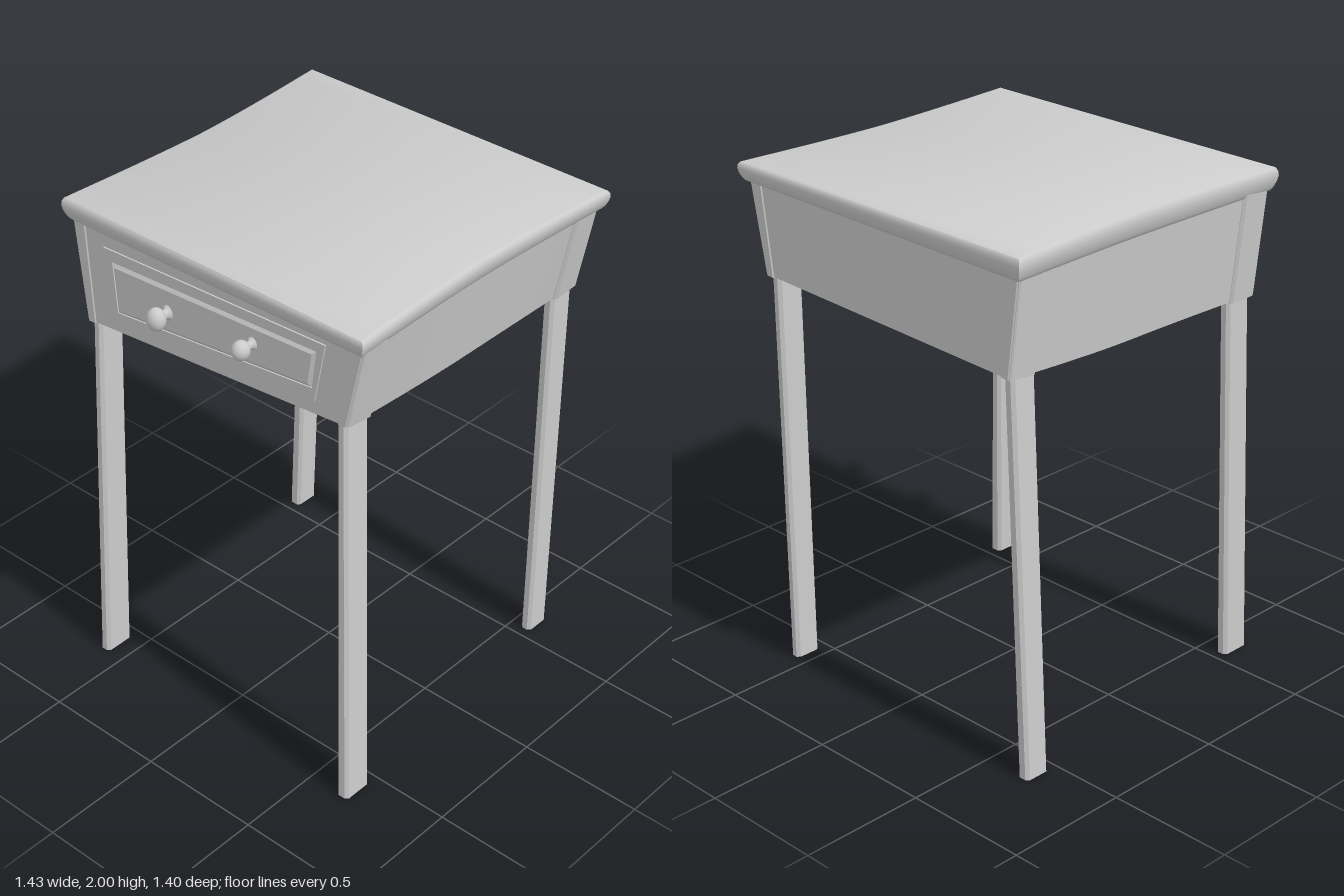
import * as THREE from 'three';
import { toCreasedNormals } from 'three/addons/utils/BufferGeometryUtils.js';

const material = new THREE.MeshStandardMaterial({ color: 0xcccccc });
const lerp = THREE.MathUtils.lerp;
const FRONT = 0.595, BACK = -0.665, MID = -0.04;

// 0 at the waist of the table, 1 at its front and back ends
const bow = (z) => Math.min(1.1, Math.abs(z - MID) / 0.64) ** 1.5;

function add(parent, name, geometry) {
  const mesh = new THREE.Mesh(geometry, material);
  mesh.name = name;
  parent.add(mesh);
  return mesh;
}

// Skin a stack of rings (top to bottom) and close both ends with strips.
// Each ring runs front-left, back-left, back-right, front-right.
function loft(rings, crease = 0.6) {
  const pos = [];
  const quad = (a, b, c, d) => pos.push(...a, ...b, ...c, ...a, ...c, ...d);
  const m = rings[0].length;
  for (let r = 0; r < rings.length - 1; r++) {
    const p = rings[r], q = rings[r + 1];
    for (let i = 0; i < m; i++) {
      const j = (i + 1) % m;
      quad(p[i], p[j], q[j], q[i]);
    }
  }
  const top = rings[0], low = rings[rings.length - 1];
  for (let i = 0; i < m / 2 - 1; i++) {
    quad(top[i], top[m - 1 - i], top[m - 2 - i], top[i + 1]);
    quad(low[i], low[i + 1], low[m - 2 - i], low[m - 1 - i]);
  }
  const g = new THREE.BufferGeometry();
  g.setAttribute('position', new THREE.Float32BufferAttribute(pos, 3));
  return toCreasedNormals(g, crease);
}

// Ring with bowed left and right sides; edge(side, z) gives x, height(x, z) gives y
function bowedRing(zFront, zBack, edge, height, n = 17) {
  const ring = [];
  for (const side of [-1, 1]) {
    for (let i = 0; i < n; i++) {
      const k = i / (n - 1);
      const z = lerp(zFront, zBack, side < 0 ? k : 1 - k);
      const x = edge(side, z);
      ring.push([x, height(x, z), z]);
    }
  }
  return ring;
}

// Rectangle with chamfered corners, as [x, z] pairs
function chamferRect(x0, x1, z0, z1, c) {
  return [
    [x0 + c, z1], [x0, z1 - c], [x0, z0 + c], [x0 + c, z0],
    [x1 - c, z0], [x1, z0 + c], [x1, z1 - c], [x1 - c, z1],
  ];
}

// Sagging, sideways sloping lower edge of the body
function bottomY(x, z) {
  const b = bow(z);
  const left = 1.495 + (z > MID ? 0.007 : 0.05) * b;
  const right = 1.555 + (z > MID ? 0.055 : 0.03) * b;
  return lerp(left, right, (x + 0.62) / 1.23);
}

// Outer x of the body at depth t (0 top, 1 bottom)
const bodyEdge = (side, z, t) =>
  side * (lerp(0.685, side < 0 ? 0.637 : 0.613, t) - 0.03 * (1 - Math.min(1, bow(z))));

function quadPath(corners, Type) {
  return new Type(corners.map(([x, y]) => new THREE.Vector2(x, y)));
}

export function createModel() {
  const table = new THREE.Group();
  table.name = 'crookedSideTable';

  // Table top with rounded rim
  const rim = [[0.02, 2], [0.008, 1.996], [0.002, 1.985], [0, 1.97], [0.004, 1.95],
    [0.012, 1.93], [0.02, 1.918], [0.035, 1.912]];
  add(table, 'tableTop', loft(rim.map(([inset, y], i) => bowedRing(
    0.628 - inset, -0.699 + inset,
    (side, z) => side * (0.677 + (z > MID ? 0.028 : 0.036) * Math.min(1, bow(z)) - inset),
    (x, z) => y + (i / 7) * (0.015 * x - 0.012 * (1 - Math.min(1, bow(z)))),
  )), 0.9));

  // Tapered body
  add(table, 'body', loft([0, 1].map((t) => bowedRing(
    FRONT, BACK,
    (side, z) => bodyEdge(side, z, t),
    (x, z) => (t ? bottomY(x, z) : 1.935),
  ))));

  // Corner posts, slightly proud of the body
  for (const side of [-1, 1]) {
    for (const [z0, z1] of [[0.47, FRONT + 0.004], [BACK - 0.004, -0.54]]) {
      const rings = [0, 1].map((t) => {
        const outer = bodyEdge(side, z0 < 0 ? z0 : z1, t) + side * 0.003;
        const inner = outer - side * lerp(0.07, 0.05, t);
        return chamferRect(Math.min(outer, inner), Math.max(outer, inner), z0, z1, 0.01)
          .map(([x, z]) => [x, t ? bottomY(x, z) - 0.003 : 1.935, z]);
      });
      add(table, 'cornerPost', loft(rings, 0.3));
    }
  }

  // Legs: x and z ranges at the top, then at the floor
  const legs = {
    frontRightLeg: [1.54, [-0.62, -0.575, 0.475, 0.592], [-0.62, -0.572, 0.54, 0.665]],
    backRightLeg: [1.58, [-0.635, -0.588, -0.652, -0.54], [-0.707, -0.655, -0.647, -0.54]],
    frontLeftLeg: [1.64, [0.562, 0.605, 0.475, 0.592], [0.63, 0.683, 0.54, 0.665]],
    backLeftLeg: [1.61, [0.56, 0.605, -0.652, -0.54], [0.545, 0.59, -0.647, -0.54]],
  };
  for (const [name, [y, top, foot]] of Object.entries(legs)) {
    add(table, name, loft([[top, y], [foot, 0]].map(([r, h]) =>
      chamferRect(...r, 0.012).map(([x, z]) => [x, h, z])), 0.3));
  }

  // Drawer: crooked frame with a bevelled panel
  const drawer = new THREE.Group();
  drawer.name = 'drawer';
  table.add(drawer);
  const outer = [[-0.495, 1.555], [0.47, 1.65], [0.52, 1.895], [-0.53, 1.85]];
  const inner = [[-0.472, 1.6], [0.46, 1.7], [0.482, 1.855], [-0.487, 1.805]];
  const frame = quadPath(outer, THREE.Shape);
  frame.holes.push(quadPath(inner, THREE.Path));
  add(drawer, 'drawerFrame', new THREE.ExtrudeGeometry(frame, { depth: 0.012, bevelEnabled: false }))
    .position.z = FRONT - 0.006;
  add(drawer, 'drawerPanel', new THREE.ExtrudeGeometry(quadPath(inner, THREE.Shape), {
    depth: 0.006, bevelThickness: 0.009, bevelSize: 0.014, bevelOffset: -0.016, bevelSegments: 1,
  })).position.z = FRONT - 0.003;

  // Round knobs on flared necks
  const profile = [[0.026, 0], [0.022, 0.008], [0.015, 0.016], [0.014, 0.026]];
  for (let i = 0; i <= 12; i++) {
    const a = lerp(-1.15, Math.PI / 2, i / 12);
    profile.push([Math.max(0, 0.035 * Math.cos(a)), 0.062 + 0.035 * Math.sin(a)]);
  }
  const knob = new THREE.LatheGeometry(profile.map((p) => new THREE.Vector2(...p)), 24);
  knob.rotateX(Math.PI / 2);
  for (const [x, y, sx, sy] of [[-0.21, 1.715, 1.05, 1.3], [0.195, 1.765, 0.95, 1.08]]) {
    const mesh = add(drawer, 'knob', knob);
    mesh.position.set(x, y, 0.602);
    mesh.scale.set(sx, sy, 1);
  }
  return table;
}
